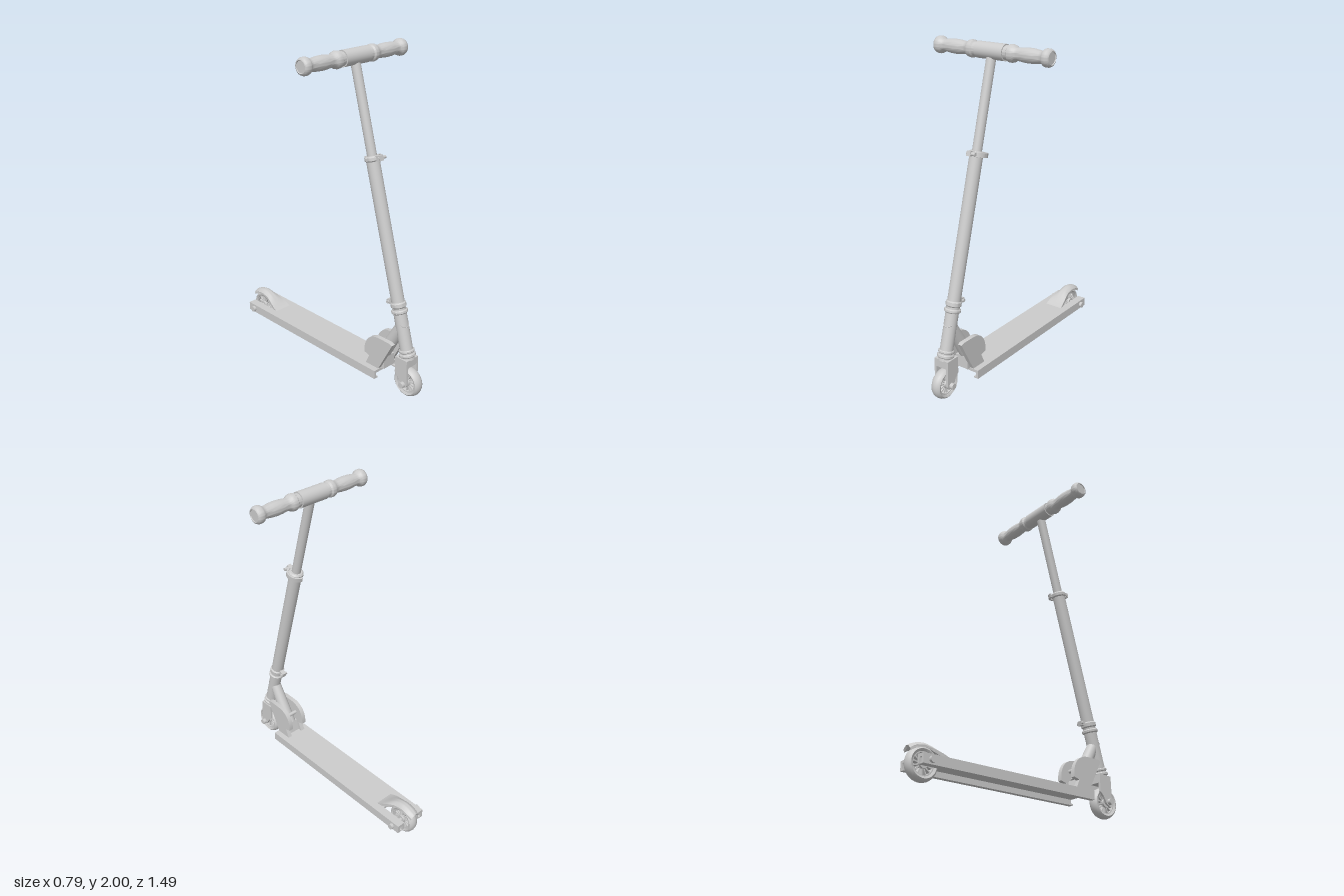
import * as THREE from 'three';
import { toCreasedNormals } from 'three/addons/utils/BufferGeometryUtils.js';

const material = new THREE.MeshStandardMaterial({ color: 0xcccccc, side: THREE.DoubleSide });

function add(parent, name, geometry, x = 0, y = 0, z = 0) {
  const mesh = new THREE.Mesh(geometry, material);
  mesh.name = name;
  mesh.position.set(x, y, z);
  parent.add(mesh);
  return mesh;
}

const box = (w, h, d) => new THREE.BoxGeometry(w, h, d);
const tube = (r, h, rTop = r) => new THREE.CylinderGeometry(rTop, r, h, 32);
const tubeX = (r, w) => tube(r, w).rotateZ(Math.PI / 2);
const points = (list) => list.map(([a, b]) => new THREE.Vector2(a, b));

// Lathe around the x axis, profile given as [radius, x]
const latheX = (profile) =>
  toCreasedNormals(new THREE.LatheGeometry(points(profile), 48).rotateZ(-Math.PI / 2), 0.7);

// Side outline given as [z, y], thickened along x and centred
function sidePlate(shape, width, steps = 1) {
  const g = new THREE.ExtrudeGeometry(shape, { depth: width, steps, bevelEnabled: false, curveSegments: 16 });
  return g.translate(0, 0, -width / 2).rotateY(-Math.PI / 2);
}

// Ring with a softly rounded rim around the y axis
function collar(r, h) {
  const b = h * 0.25;
  return toCreasedNormals(new THREE.LatheGeometry(points([
    [0.02, -h / 2], [r - b, -h / 2], [r, -h / 2 + b], [r, h / 2 - b], [r - b, h / 2], [0.02, h / 2],
  ]), 32), 0.6);
}

function makeWheel(name) {
  const wheel = new THREE.Group();
  wheel.name = name;
  add(wheel, 'tyre', latheX([
    [0.066, -0.026], [0.078, -0.032], [0.086, -0.026], [0.092, -0.014], [0.094, 0],
    [0.092, 0.014], [0.086, 0.026], [0.078, 0.032], [0.066, 0.026], [0.066, -0.026],
  ]));
  add(wheel, 'rim', latheX([
    [0.06, -0.022], [0.068, -0.022], [0.068, 0.022], [0.06, 0.022], [0.06, -0.022],
  ]));
  add(wheel, 'hub', tubeX(0.025, 0.056));
  const spokes = 14;
  for (let i = 0; i < spokes; i++) {
    const spoke = box(0.03, 0.046, 0.007).translate(0, 0.042, 0).rotateX((i / spokes) * Math.PI * 2);
    add(wheel, 'spoke', spoke);
  }
  return wheel;
}

function makeAxle(parent, halfWidth, y, z) {
  add(parent, 'axle', tubeX(0.011, halfWidth * 2 - 0.01), 0, y, z);
  for (const s of [-1, 1]) add(parent, 'axleNut', tubeX(0.018, 0.022), s * (halfWidth - 0.011), y, z);
}

function makeDeck() {
  const deck = new THREE.Group();
  deck.name = 'deck';
  // Top plate with the rear wheel slot
  const outline = new THREE.Shape(points([
    [-0.107, 0.48], [0.107, 0.48], [0.107, -0.705], [0.055, -0.705],
    [0.055, -0.53], [-0.055, -0.53], [-0.055, -0.705], [-0.107, -0.705],
  ]));
  const top = new THREE.ExtrudeGeometry(outline, { depth: 0.018, bevelEnabled: false });
  add(deck, 'topPlate', top.rotateX(Math.PI / 2), 0, 0.125, 0);
  // The outline is laid flat with +z forward, leaving an open channel below
  for (const s of [-1, 1]) {
    add(deck, 'sideRail', box(0.016, 0.055, 1.185), s * 0.099, 0.0975, -0.1125);
    add(deck, 'railLip', box(0.03, 0.01, 1.185), s * 0.092, 0.075, -0.1125);
    add(deck, 'rearDropout', box(0.014, 0.05, 0.175), s * 0.062, 0.098, -0.6175);
  }
  return deck;
}

function makeFender() {
  const shape = new THREE.Shape();
  shape.moveTo(-0.47, 0.122);
  shape.bezierCurveTo(-0.54, 0.15, -0.57, 0.207, -0.65, 0.21);
  shape.quadraticCurveTo(-0.7, 0.208, -0.74, 0.18);
  shape.lineTo(-0.732, 0.168);
  shape.quadraticCurveTo(-0.7, 0.192, -0.65, 0.195);
  shape.bezierCurveTo(-0.58, 0.192, -0.56, 0.14, -0.5, 0.122);
  const g = sidePlate(shape, 2, 10);
  // Broad foot narrowing to a slim tail, arched across its width
  const p = g.attributes.position;
  for (let i = 0; i < p.count; i++) {
    const u = p.getX(i), z = p.getZ(i);
    const t = THREE.MathUtils.smoothstep(-z, 0.49, 0.62);
    const tail = THREE.MathUtils.smoothstep(-z, 0.7, 0.76);
    p.setX(i, u * (0.058 - 0.022 * t - 0.008 * tail));
    p.setY(i, Math.max(0.12, p.getY(i) - 0.02 * t * u * u));
  }
  return toCreasedNormals(g, 0.6);
}

function makeFork() {
  const fork = new THREE.Group();
  fork.name = 'fork';
  const shape = new THREE.Shape(points([[0.59, 0.255], [0.59, 0.15], [0.615, 0.125], [0.635, 0.09]]));
  shape.quadraticCurveTo(0.645, 0.073, 0.662, 0.073);
  shape.quadraticCurveTo(0.684, 0.075, 0.684, 0.1);
  shape.lineTo(0.68, 0.255);
  for (const s of [-1, 1]) add(fork, 'forkBlade', sidePlate(shape, 0.014), s * 0.043, 0, 0);
  add(fork, 'forkCrown', box(0.1, 0.05, 0.09), 0, 0.23, 0.635);
  makeAxle(fork, 0.075, 0.095, 0.658);
  return fork;
}

function makeFoldingHinge() {
  const hinge = new THREE.Group();
  hinge.name = 'foldingHinge';
  const shape = new THREE.Shape(points([[0.579, 0.325], [0.474, 0.122], [0.372, 0.122], [0.4, 0.183], [0.36, 0.195]]));
  shape.bezierCurveTo(0.355, 0.27, 0.39, 0.33, 0.47, 0.333);
  shape.lineTo(0.56, 0.333);
  for (const s of [-1, 1]) {
    add(hinge, 'hingePlate', toCreasedNormals(sidePlate(shape, 0.028), 0.6), s * 0.056, 0, 0);
  }
  // Slanted strut from the head tube down to the deck
  const strut = add(hinge, 'strut', tube(0.042, 0.32, 0.034), 0, 0.325, 0.525);
  strut.rotation.x = 0.51;
  const foot = new THREE.Shape(points([[0.5, 0.122], [0.4, 0.122], [0.42, 0.2], [0.5, 0.2]]));
  add(hinge, 'hingeFoot', sidePlate(foot, 0.09));
  add(hinge, 'hingePin', tubeX(0.012, 0.1), 0, 0.26, 0.43);
  return hinge;
}

function makeStem() {
  const stem = new THREE.Group();
  stem.name = 'stem';
  stem.position.set(0, 0.25, 0.645);
  stem.rotation.x = -0.267;
  add(stem, 'lowerTube', tube(0.039, 1.2), 0, 0.59, 0);
  add(stem, 'upperTube', tube(0.028, 0.6), 0, 1.47, 0);
  // Headset rings and clamp
  add(stem, 'lowerHeadRing', collar(0.05, 0.022), 0, 0.02, 0);
  add(stem, 'lowerHeadRing', collar(0.047, 0.018), 0, 0.046, 0);
  add(stem, 'upperHeadRing', collar(0.049, 0.024), 0, 0.29, 0);
  add(stem, 'headClamp', collar(0.046, 0.042), 0, 0.33, 0);
  add(stem, 'clampLug', box(0.03, 0.028, 0.04), 0, 0.345, -0.055);
  add(stem, 'clampBolt', tubeX(0.009, 0.05), 0, 0.345, -0.064);
  // Height clamp with its curved quick release lever
  add(stem, 'heightClamp', collar(0.046, 0.034), 0, 1.192, 0);
  add(stem, 'heightLug', box(0.028, 0.03, 0.036), 0, 1.192, 0.055);
  add(stem, 'heightBolt', tubeX(0.01, 0.06), 0.01, 1.192, 0.06);
  const lever = new THREE.Shape();
  lever.absarc(0, 0, 0.062, -1.5, 1.5, false);
  lever.absarc(0, 0, 0.051, 1.5, -1.5, true);
  const leverGeo = new THREE.ExtrudeGeometry(lever, { depth: 0.026, bevelEnabled: false, curveSegments: 24 });
  add(stem, 'releaseLever', toCreasedNormals(leverGeo.rotateX(Math.PI / 2), 0.6), 0, 1.205, -0.006);
  return stem;
}

function makeHandlebar() {
  const bar = new THREE.Group();
  bar.name = 'handlebar';
  bar.position.set(0, 1.95, 0.18);
  add(bar, 'crossTube', tubeX(0.047, 0.19));
  const profile = [
    [0.0, 0.09], [0.04, 0.09], [0.041, 0.118], [0.049, 0.126], [0.05, 0.142], [0.046, 0.157], [0.037, 0.168],
    [0.036, 0.185], [0.04, 0.215], [0.042, 0.25], [0.04, 0.29], [0.035, 0.325], [0.036, 0.34],
    [0.047, 0.352], [0.05, 0.362], [0.05, 0.378], [0.045, 0.39], [0.036, 0.395], [0.034, 0.39], [0, 0.39],
  ];
  for (const s of [-1, 1]) {
    const grip = add(bar, 'grip', latheX(profile));
    grip.rotation.y = s > 0 ? 0 : Math.PI;
  }
  return bar;
}

export function createModel() {
  const scooter = new THREE.Group();
  scooter.name = 'kickScooter';
  const front = makeWheel('frontWheel');
  front.position.set(0, 0.094, 0.655);
  const rear = makeWheel('rearWheel');
  rear.position.set(0, 0.094, -0.65);
  scooter.add(front, rear, makeDeck(), makeFork(), makeFoldingHinge(), makeStem(), makeHandlebar());
  makeAxle(scooter, 0.124, 0.096, -0.652);
  add(scooter, 'rearFender', makeFender());
  return scooter;
}
